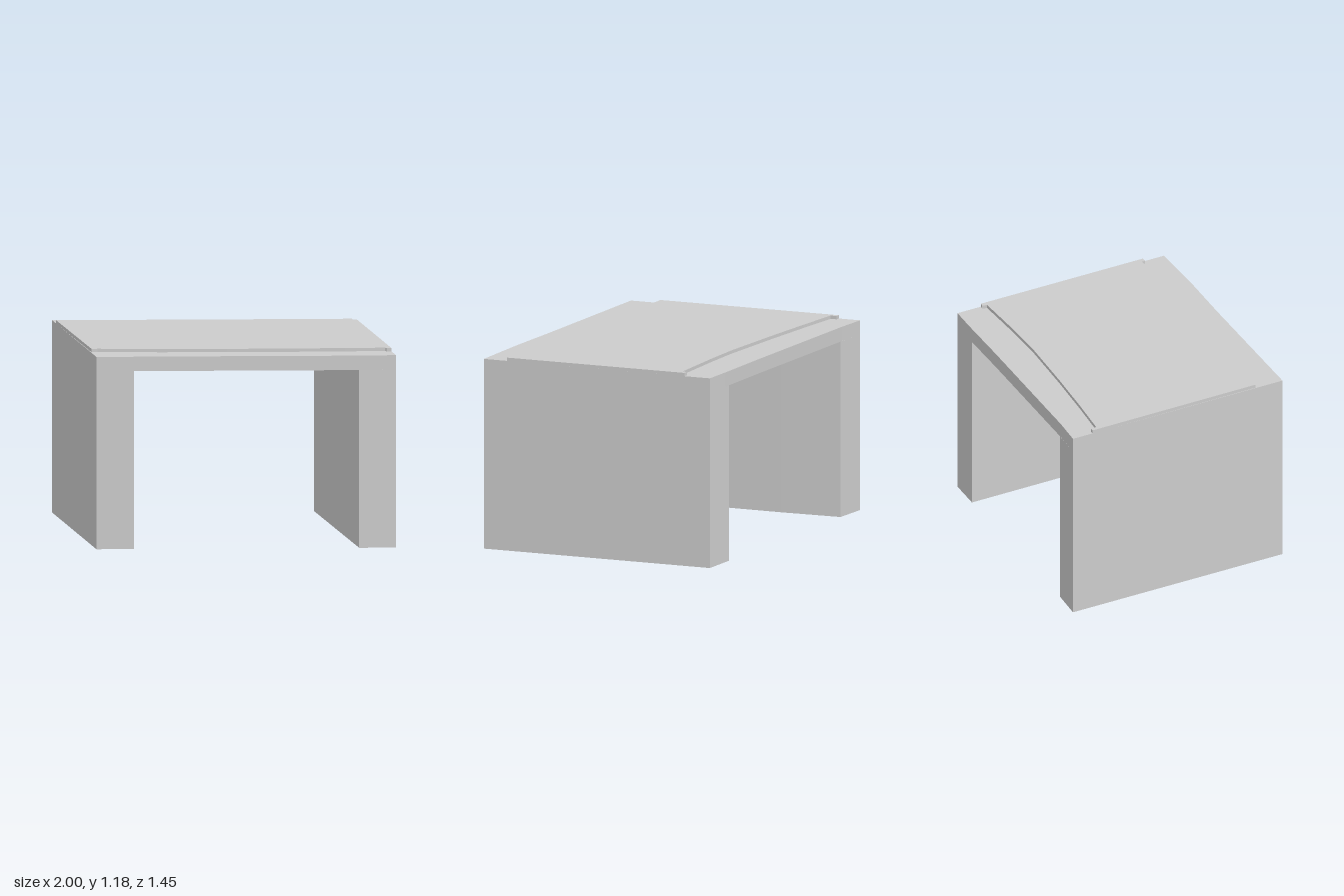
import * as THREE from 'three';

const material = new THREE.MeshStandardMaterial({ color: 0xcccccc, flatShading: true });

// Upright prism from a plan outline of [x, z] corners
function prism(name, outline, bottom, top) {
  const shape = new THREE.Shape(outline.map(([x, z]) => new THREE.Vector2(x, -z)));
  const geometry = new THREE.ExtrudeGeometry(shape, { depth: top - bottom, bevelEnabled: false });
  geometry.rotateX(-Math.PI / 2).translate(0, bottom, 0);
  const mesh = new THREE.Mesh(geometry, material);
  mesh.name = name;
  return mesh;
}

export function createModel() {
  const group = new THREE.Group();
  group.name = 'skewedCulvert';
  const soffit = 1.07, deckTop = 1.157, slabTop = 1.177;

  // Skewed side walls, the right one with a slightly bowed inner face
  group.add(prism('leftWall', [
    [0.78, 0.716], [1, 0.71], [0.785, -0.714], [0.56, -0.716],
  ], 0, soffit));
  group.add(prism('rightWall', [
    [-0.783, 0.72], [-0.56, 0.718], [-0.715, -0.35], [-0.78, -0.716], [-1, -0.725],
  ], 0, soffit));

  // Deck spanning both walls
  group.add(prism('deck', [
    [-0.783, 0.72], [0.2, 0.716], [0.6, 0.72], [1, 0.71],
    [0.785, -0.714], [0.6, -0.716], [0.2, -0.713], [-0.8, -0.716], [-1, -0.725],
  ], soffit, deckTop));

  // Thin raised slab with gently curved ends and small corner steps
  group.add(prism('raisedSlab', [
    [-0.806, 0.535], [-0.77, 0.53], [-0.4, 0.55], [0, 0.56], [0.3, 0.561], [0.7, 0.552],
    [0.942, 0.545], [0.947, 0.567], [0.978, 0.565],
    [0.809, -0.553], [0.783, -0.555], [0.778, -0.525], [0.4, -0.506], [0.15, -0.5],
    [-0.3, -0.515], [-0.65, -0.533], [-0.948, -0.553], [-0.953, -0.59], [-0.98, -0.59],
  ], deckTop, slabTop));

  return group;
}
